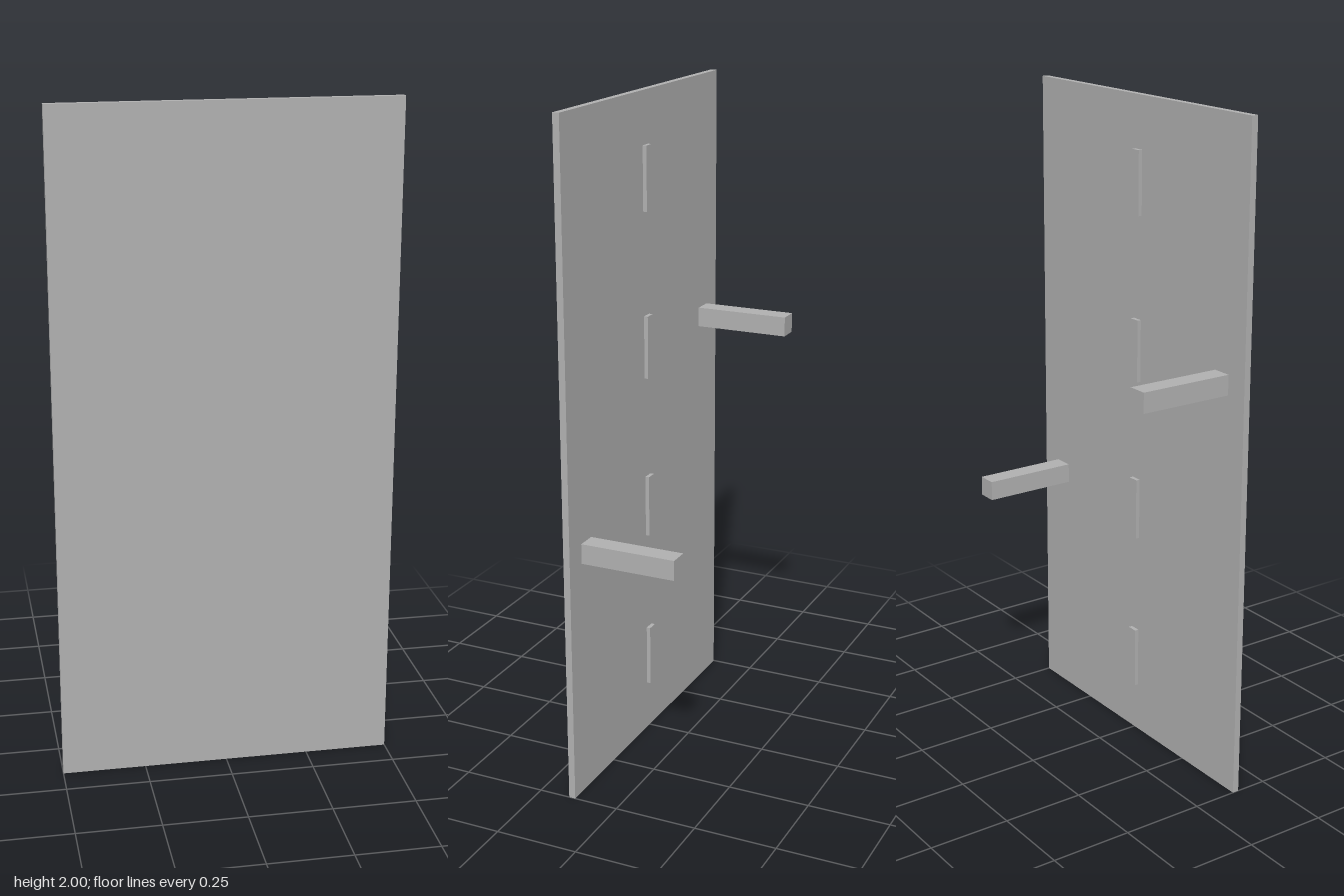
import * as THREE from 'three';

export function createModel() {
  const group = new THREE.Group();
  const grey = new THREE.MeshStandardMaterial({ color: 0xb0b0b0 });
  grey.name = 'grey';

  const addBox = (name, size, position) => {
    const mesh = new THREE.Mesh(new THREE.BoxGeometry(...size), grey);
    mesh.name = name;
    mesh.position.set(...position);
    group.add(mesh);
  };

  // Thin upright board
  addBox('panel', [1, 2, 0.02], [0, 1, 0.145]);

  // Row of small raised strips up the middle of the back
  for (let i = 0; i < 4; i++) {
    addBox(`backStrip${i + 1}`, [0.034, 0.19, 0.012], [0, 0.25 + i * 0.5, 0.129]);
  }

  // Square pegs standing out of the back, at staggered heights
  addBox('leftPeg', [0.06, 0.06, 0.29], [0.4, 0.75, -0.01]);
  addBox('rightPeg', [0.06, 0.06, 0.29], [-0.4, 1.25, -0.01]);

  return group;
}
